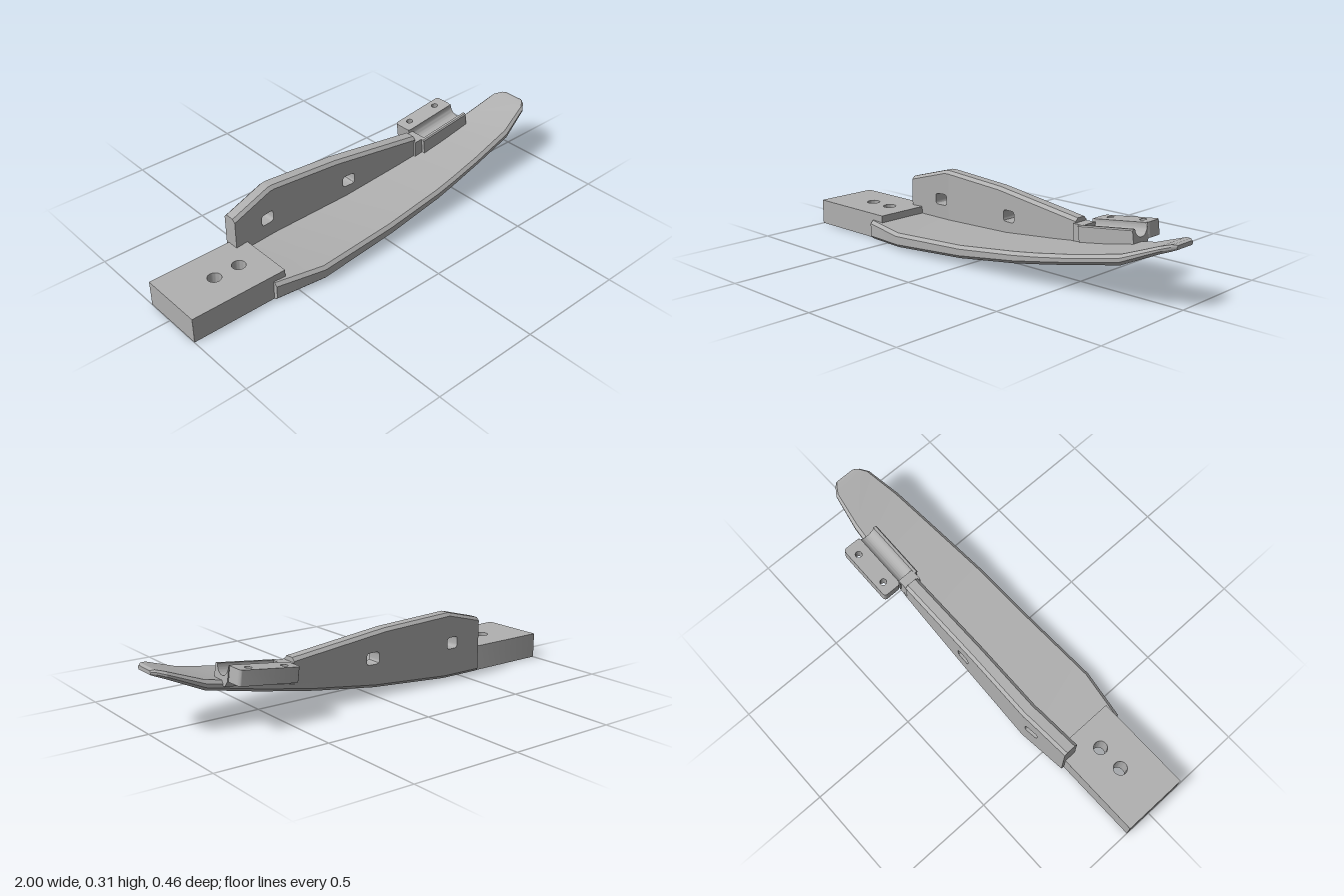
import * as THREE from 'three';
import { toCreasedNormals } from 'three/addons/utils/BufferGeometryUtils.js';

const grey = new THREE.MeshStandardMaterial({ color: 0xb0b0b0 });
grey.name = 'grey';
const BREAK = -0.385; // widest station, where the rear face changes direction
const WALL = 0.07;

// Rear face of the plate and wall as a function of x
const zBack = (x) => x < BREAK
  ? -0.17 + ((BREAK - x) / (BREAK + 0.61)) * 0.025
  : -0.17 + ((x - BREAK) / (0.41 - BREAK)) * 0.03;

function add(parent, name, geometry) {
  const mesh = new THREE.Mesh(toCreasedNormals(geometry, 0.4), grey);
  mesh.name = name;
  parent.add(mesh);
  return mesh;
}

// Closed solid through cross-sections; each ring is { x, pts: [[z, y], ...] }
function loft(rings) {
  const pos = [];
  const put = (r, j) => pos.push(r.x, r.pts[j][1], r.pts[j][0]);
  const n = rings[0].pts.length;
  for (let i = 0; i + 1 < rings.length; i++) {
    const a = rings[i], b = rings[i + 1];
    for (let j = 0; j < n; j++) {
      const k = (j + 1) % n;
      put(a, j); put(a, k); put(b, k);
      put(a, j); put(b, k); put(b, j);
    }
  }
  const first = rings[0], last = rings[rings.length - 1];
  for (let j = 1; j + 1 < n; j++) {
    put(last, 0); put(last, j); put(last, j + 1);
    put(first, 0); put(first, j + 1); put(first, j);
  }
  const g = new THREE.BufferGeometry();
  g.setAttribute('position', new THREE.Float32BufferAttribute(pos, 3));
  return g;
}

function roundedRect(path, x0, y0, x1, y1, r) {
  path.moveTo(x0 + r, y0);
  path.lineTo(x1 - r, y0);
  path.quadraticCurveTo(x1, y0, x1, y0 + r);
  path.lineTo(x1, y1 - r);
  path.quadraticCurveTo(x1, y1, x1 - r, y1);
  path.lineTo(x0 + r, y1);
  path.quadraticCurveTo(x0, y1, x0, y1 - r);
  path.lineTo(x0, y0 + r);
  path.quadraticCurveTo(x0, y0, x0 + r, y0);
  return path;
}

// Horizontal slab with vertical round holes [x, z, radius]
function drilledSlab(x0, x1, z0, z1, y0, y1, corner, holes) {
  const s = roundedRect(new THREE.Shape(), x0, -z1, x1, -z0, corner);
  for (const [x, z, r] of holes) s.holes.push(new THREE.Path().absarc(x, -z, r, 0, Math.PI * 2, true));
  const g = new THREE.ExtrudeGeometry(s, { depth: y1 - y0, bevelEnabled: false, curveSegments: 16 });
  return g.rotateX(-Math.PI / 2).translate(0, y0, 0);
}

export function createModel() {
  const model = new THREE.Group();
  model.name = 'bracketArm';

  // Mounting tongue with two bolt holes, and its lip over the plate
  add(model, 'mountingTongue', drilledSlab(-1, -0.605, -0.13, 0.17, 0.004, 0.12, 0.002,
    [[-0.79, 0.02, 0.03], [-0.67, 0.02, 0.03]]));
  add(model, 'tongueLip', new THREE.BoxGeometry(0.06, 0.06, 0.3).translate(-0.58, 0.09, 0.02));

  // Curved, tapering plate: x, bottom, top, rear z, front z, edge chamfer
  const stations = [
    [-0.61, 0.003, 0.09, -0.145, 0.19, 0.014],
    [BREAK, 0.014, 0.08, -0.17, 0.228, 0.014],
    [0, 0.04, 0.097, zBack(0), 0.213, 0.014],
    [0.3, 0.079, 0.13, zBack(0.3), 0.2, 0.014],
    [0.41, 0.097, 0.144, -0.14, 0.19, 0.014],
    [0.58, 0.126, 0.17, -0.128, 0.173, 0.014],
    [0.8, 0.168, 0.212, -0.11, 0.148, 0.014],
    [0.95, 0.235, 0.266, -0.085, 0.108, 0.011],
    [0.985, 0.247, 0.274, -0.06, 0.08, 0.009],
    [1, 0.253, 0.27, -0.045, 0.06, 0.006],
  ];
  add(model, 'curvedPlate', loft(stations.map(([x, yb, yt, zb, zf, c]) => ({
    x,
    pts: [[zb, yt - c], [zb + c, yt], [zf - c, yt], [zf, yt - c],
      [zf, yb + c], [zf - c, yb], [zb + c, yb], [zb, yb + c]],
  }))));

  // Rear wall in two straight runs, each with a window
  const cap = 0.014;
  const runs = [
    { outline: [[-0.61, 0.03], [BREAK, 0.03], [BREAK, 0.315 - cap], [-0.41, 0.315 - cap], [-0.61, 0.26 - cap]], window: -0.43 },
    { outline: [[BREAK, 0.03], [0, 0.06], [0.41, 0.12], [0.41, 0.24 - cap], [-0.05, 0.297 - cap], [BREAK, 0.315 - cap]], window: 0.015 },
  ];
  for (const { outline, window } of runs) {
    const s = new THREE.Shape(outline.map(([x, y]) => new THREE.Vector2(x, y)));
    s.holes.push(roundedRect(new THREE.Path(), window - 0.033, 0.147, window + 0.033, 0.2, 0.016));
    const g = new THREE.ExtrudeGeometry(s, { depth: WALL, bevelEnabled: false, curveSegments: 4 });
    const p = g.attributes.position;
    for (let i = 0; i < p.count; i++) p.setZ(i, p.getZ(i) + zBack(p.getX(i)));
    add(model, 'rearWall', g);
  }

  // Chamfered rim along the wall top
  const rim = [[-0.61, 0.26], [-0.41, 0.315], [BREAK, 0.315], [-0.05, 0.297], [0.41, 0.24]];
  add(model, 'wallRim', loft(rim.map(([x, y]) => {
    const z = zBack(x);
    return { x, pts: [[z, y - cap], [z + cap, y], [z + WALL - cap, y], [z + WALL, y - cap]] };
  })));

  // Low step joining the wall to the cradle
  add(model, 'wallStep', loft([[0.405, 0.22], [0.46, 0.222]].map(([x, y]) => (
    { x, pts: [[-0.138, y], [-0.06, y], [-0.06, 0.13], [-0.138, 0.13]] }))));

  // Tilted clamp: grooved cradle plus a drilled flange behind it
  const clamp = new THREE.Group();
  clamp.name = 'clamp';
  clamp.position.set(0.448, 0.167, 0);
  clamp.rotation.z = 0.125;
  model.add(clamp);

  const profile = new THREE.Shape();
  profile.moveTo(0.045, -0.025);
  profile.lineTo(0.13, -0.025);
  profile.lineTo(0.146, 0);
  profile.lineTo(0.146, 0.065);
  profile.lineTo(0.142, 0.055);
  profile.absarc(0.102, 0.055, 0.04, 0, -Math.PI, true);
  profile.lineTo(0.05, 0.055);
  profile.lineTo(0.045, 0.05);
  const cradle = new THREE.ExtrudeGeometry(profile, { depth: 0.28, bevelEnabled: false, curveSegments: 14 });
  add(clamp, 'grooveCradle', cradle.rotateY(Math.PI / 2));
  add(clamp, 'drilledFlange', drilledSlab(0, 0.28, -0.233, -0.142, 0, 0.065, 0.018,
    [[0.055, -0.195, 0.015], [0.222, -0.195, 0.015]]));

  return model;
}
